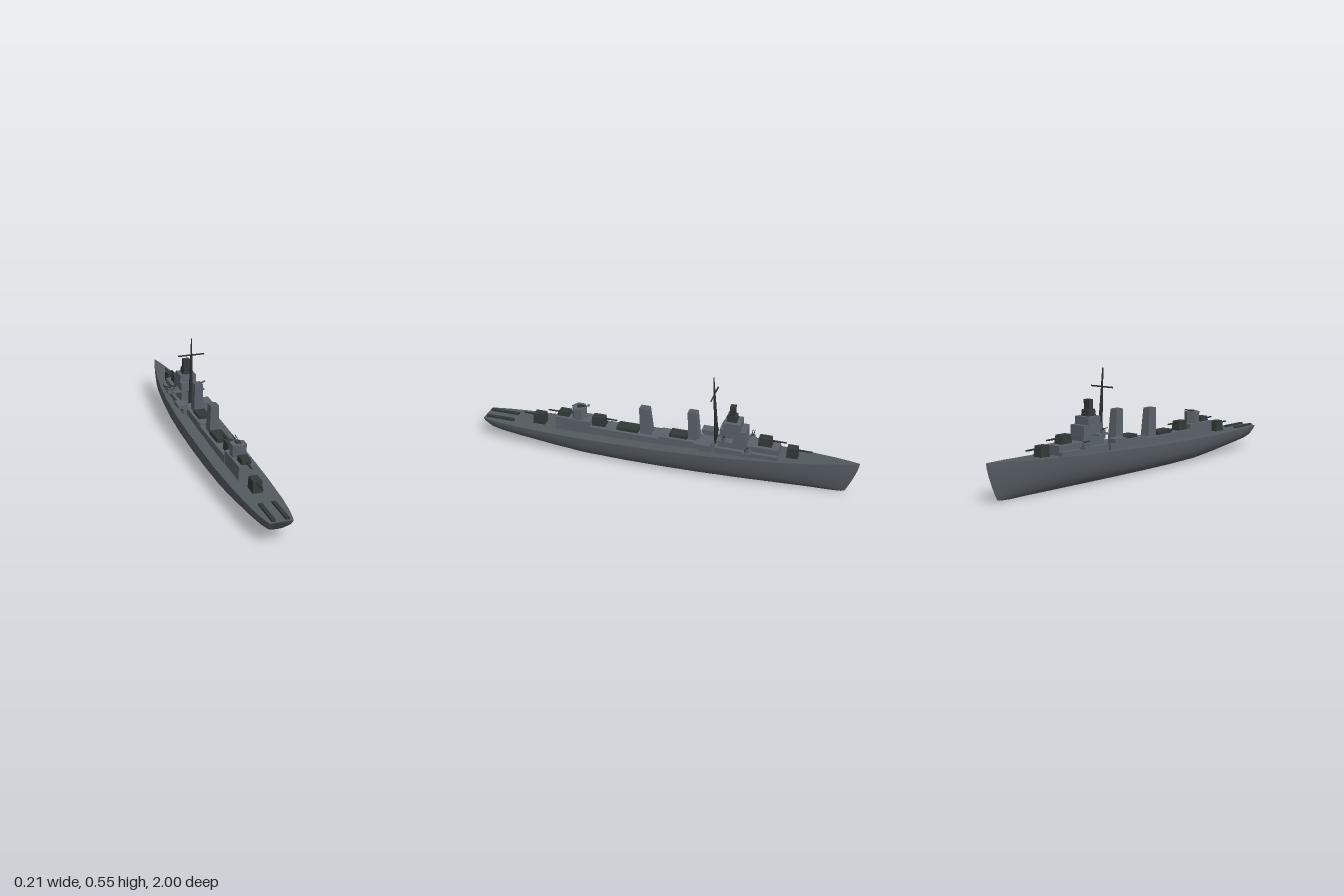
import * as THREE from 'three';
import { toCreasedNormals } from 'three/addons/utils/BufferGeometryUtils.js';

const mat = (name, color) => Object.assign(new THREE.MeshStandardMaterial({ color }), { name });

export function createModel() {
  const ship = new THREE.Group();
  ship.name = 'warship';
  const hullGrey = mat('hull grey', 0x555c64);
  const deckGrey = mat('deck grey', 0x535b5f);
  const houseGrey = mat('superstructure grey', 0x5a626a);
  const dark = mat('dark gunmetal', 0x313a38);
  const black = mat('mast black', 0x2a3031);

  const add = (name, geo, material, parent = ship) => {
    const m = new THREE.Mesh(geo, material);
    m.name = name;
    parent.add(m);
    return m;
  };

  // Box between limits; the top is scaled by (tx, tz) and shifted along z by lean
  const block = (name, material, w, y0, y1, z0, z1, { x = 0, tx = 1, tz = 1, lean = 0 } = {}) => {
    const g = new THREE.BoxGeometry(w, y1 - y0, Math.abs(z1 - z0));
    const p = g.attributes.position;
    for (let i = 0; i < p.count; i++) {
      if (p.getY(i) > 0) p.setXYZ(i, p.getX(i) * tx, p.getY(i), p.getZ(i) * tz + lean);
    }
    g.computeVertexNormals();
    const m = add(name, g, material);
    m.position.set(x, (y0 + y1) / 2, (z0 + z1) / 2);
    return m;
  };

  // Straight round bar between two points
  const rod = (name, material, a, b, r0, r1 = r0, sides = 6) => {
    const A = new THREE.Vector3(...a), B = new THREE.Vector3(...b);
    const d = B.clone().sub(A);
    const m = add(name, new THREE.CylinderGeometry(r1, r0, d.length(), sides), material);
    m.position.copy(A).add(B).multiplyScalar(0.5);
    m.quaternion.setFromUnitVectors(new THREE.Vector3(0, 1, 0), d.normalize());
    return m;
  };

  // Hull stations: z, half beam, deck height, keel height, fullness, rake at keel
  const stations = [
    [1.0, 0.054, 0.12, 0.072, 0.6, -0.035],
    [0.97, 0.062, 0.12, 0.059, 0.6, -0.02],
    [0.9, 0.074, 0.12, 0.05, 0.6, 0],
    [0.8, 0.085, 0.12, 0.04, 0.6, 0],
    [0.6, 0.097, 0.121, 0.019, 0.6, 0],
    [0.42, 0.103, 0.123, 0.003, 0.6, 0],
    [0.2, 0.105, 0.128, 0, 0.55, 0],
    [0, 0.105, 0.134, 0, 0.55, 0],
    [-0.2, 0.103, 0.143, 0, 0.6, 0],
    [-0.4, 0.095, 0.152, 0, 0.7, 0],
    [-0.6, 0.077, 0.161, 0, 0.85, 0],
    [-0.75, 0.056, 0.168, 0, 1.0, 0],
    [-0.87, 0.034, 0.175, 0, 1.15, 0.005],
    [-0.95, 0.016, 0.179, 0.003, 1.25, 0.03],
    [-1.0, 0.001, 0.182, 0.008, 1.2, 0.06],
  ];
  const N = 20;
  const pos = [], skin = [], deck = [];
  for (const [z, b, top, keel, full, rake] of stations) {
    for (let j = 0; j <= N; j++) {
      const a = Math.PI * (1 - j / N), c = Math.cos(a), s = Math.max(0, Math.sin(a));
      pos.push(-Math.sign(-c) * b * Math.abs(c) ** full, top - (top - keel) * s, z + rake * s ** 1.4);
    }
  }
  const W = N + 1;
  for (let i = 0; i < stations.length - 1; i++) {
    for (let j = 0; j < N; j++) {
      const a = i * W + j, c = a + W;
      skin.push(a, c, a + 1, a + 1, c, c + 1);
    }
    const l = i * W, r = l + N;
    deck.push(l, r, l + W, r, r + W, l + W);
  }
  // Transom fan closes the stern
  for (let j = 1; j < N; j++) skin.push(0, j, j + 1);
  const shell = (index) => {
    const g = new THREE.BufferGeometry();
    g.setAttribute('position', new THREE.Float32BufferAttribute(pos, 3));
    g.setIndex(index);
    return toCreasedNormals(g, 0.6);
  };
  add('hull', shell(skin), hullGrey);
  add('deck', shell(deck), deckGrey);

  // Deckhouses
  block('aftDeckhouse', houseGrey, 0.084, 0.1, 0.194, 0.587, 0.394);
  block('midDeckhouseAft', houseGrey, 0.09, 0.1, 0.166, 0.394, 0.02);
  block('midDeckhouseFore', houseGrey, 0.09, 0.1, 0.178, 0.02, -0.27);
  block('foreDeckhouse', houseGrey, 0.09, 0.12, 0.208, -0.44, -0.6);
  block('foreDeckhouseSides', houseGrey, 0.124, 0.12, 0.18, -0.28, -0.6);

  // Gun turrets: dir is +1 facing the stern, -1 facing the bow
  const turret = (name, y0, y1, z0, z1, dir, tip, gunY) => {
    block(name, dark, 0.05, y0, y1, z0, z1, { tx: 0.86, tz: 0.88, lean: -dir * 0.003 });
    rod(name + 'Barrel', black, [0, gunY, (z0 + z1) / 2], [0, gunY, tip], 0.005, 0.004);
  };
  turret('aftLowerTurret', 0.115, 0.178, 0.725, 0.657, 1, 0.78, 0.163);
  turret('aftUpperTurret', 0.19, 0.219, 0.58, 0.515, 1, 0.64, 0.204);
  turret('midTurret', 0.16, 0.216, 0.388, 0.315, -1, 0.255, 0.205);
  turret('foreUpperTurret', 0.205, 0.25, -0.495, -0.565, -1, -0.635, 0.235);
  turret('foreLowerTurret', 0.155, 0.217, -0.64, -0.698, -1, -0.765, 0.204);

  // Torpedo mounts
  block('aftTorpedoMount', dark, 0.06, 0.16, 0.186, 0.25, 0.135);
  block('foreTorpedoMount', dark, 0.06, 0.175, 0.195, -0.035, -0.13);

  // Funnels with dark mouths
  block('aftFunnel', houseGrey, 0.052, 0.16, 0.312, 0.122, 0.06, { tx: 0.8, tz: 0.82, lean: 0.011 });
  block('aftFunnelMouth', deckGrey, 0.03, 0.311, 0.314, 0.12, 0.084);
  block('foreFunnel', houseGrey, 0.052, 0.17, 0.333, -0.135, -0.192, { tx: 0.8, tz: 0.82, lean: 0.011 });
  block('foreFunnelMouth', deckGrey, 0.03, 0.332, 0.335, -0.135, -0.17);

  // Bridge tower and director
  block('bridgeBase', houseGrey, 0.09, 0.14, 0.235, -0.295, -0.437);
  block('bridgeWings', houseGrey, 0.172, 0.232, 0.238, -0.295, -0.375);
  block('bridge', houseGrey, 0.09, 0.235, 0.282, -0.3, -0.435, { tx: 0.98, tz: 0.98 });
  block('wheelhouse', houseGrey, 0.09, 0.28, 0.32, -0.318, -0.405, { tx: 0.97, tz: 0.97 });
  block('directorBase', dark, 0.05, 0.318, 0.352, -0.33, -0.382, { tx: 0.86, tz: 0.9 });
  block('director', dark, 0.035, 0.35, 0.4, -0.343, -0.37);

  // Mast and yard
  rod('mast', black, [0, 0.17, -0.279], [0, 0.545, -0.253], 0.013, 0.003, 8);
  rod('yard', black, [-0.071, 0.452, -0.26], [0.071, 0.452, -0.26], 0.004);

  // Aft anti-aircraft tub
  const tub = add('aftGunTub', new THREE.CylinderGeometry(0.041, 0.041, 0.068, 6).toNonIndexed(), houseGrey);
  tub.geometry.computeVertexNormals();
  tub.position.set(0, 0.221, 0.462);
  block('aftGunMount', dark, 0.024, 0.25, 0.262, 0.472, 0.448);

  for (const s of [-1, 1]) {
    const side = s > 0 ? 'left' : 'right';
    rod(side + 'AftLightBarrel', black, [s * 0.006, 0.258, 0.45], [s * 0.006, 0.27, 0.405], 0.002);
    // Stern racks
    block(side + 'SternRack', dark, 0.018, 0.115, 0.13, 0.99, 0.83, { x: s * 0.032 });
    // Side platforms by the fore funnel
    block(side + 'SidePlatform', houseGrey, 0.05, 0.183, 0.203, -0.187, -0.267, { x: s * 0.069 });
    block(side + 'PlatformSupport', houseGrey, 0.022, 0.13, 0.184, -0.2, -0.265, { x: s * 0.052 });
    // Light guns on the fore deckhouse and the bridge wings
    for (const [n, x, y, z, r] of [['Lower', 0.066, 0.186, -0.45, 0.015], ['Upper', 0.072, 0.236, -0.332, 0.013]]) {
      rod(side + n + 'GunTub', houseGrey, [s * x, y, z], [s * x, y + 0.02, z], r, r, 8);
      rod(side + n + 'GunMount', dark, [s * x, y + 0.015, z], [s * x, y + 0.026, z], 0.007);
      for (const dz of [-0.005, 0.005]) {
        rod(side + n + 'GunBarrel', black, [s * (x - 0.005), y + 0.021, z + dz],
          [s * (x + 0.028), y + 0.033, z + dz], 0.0018);
      }
    }
    block(side + 'LowerGunPlatform', houseGrey, 0.036, 0.178, 0.188, -0.43, -0.47, { x: s * 0.065 });
  }
  return ship;
}
